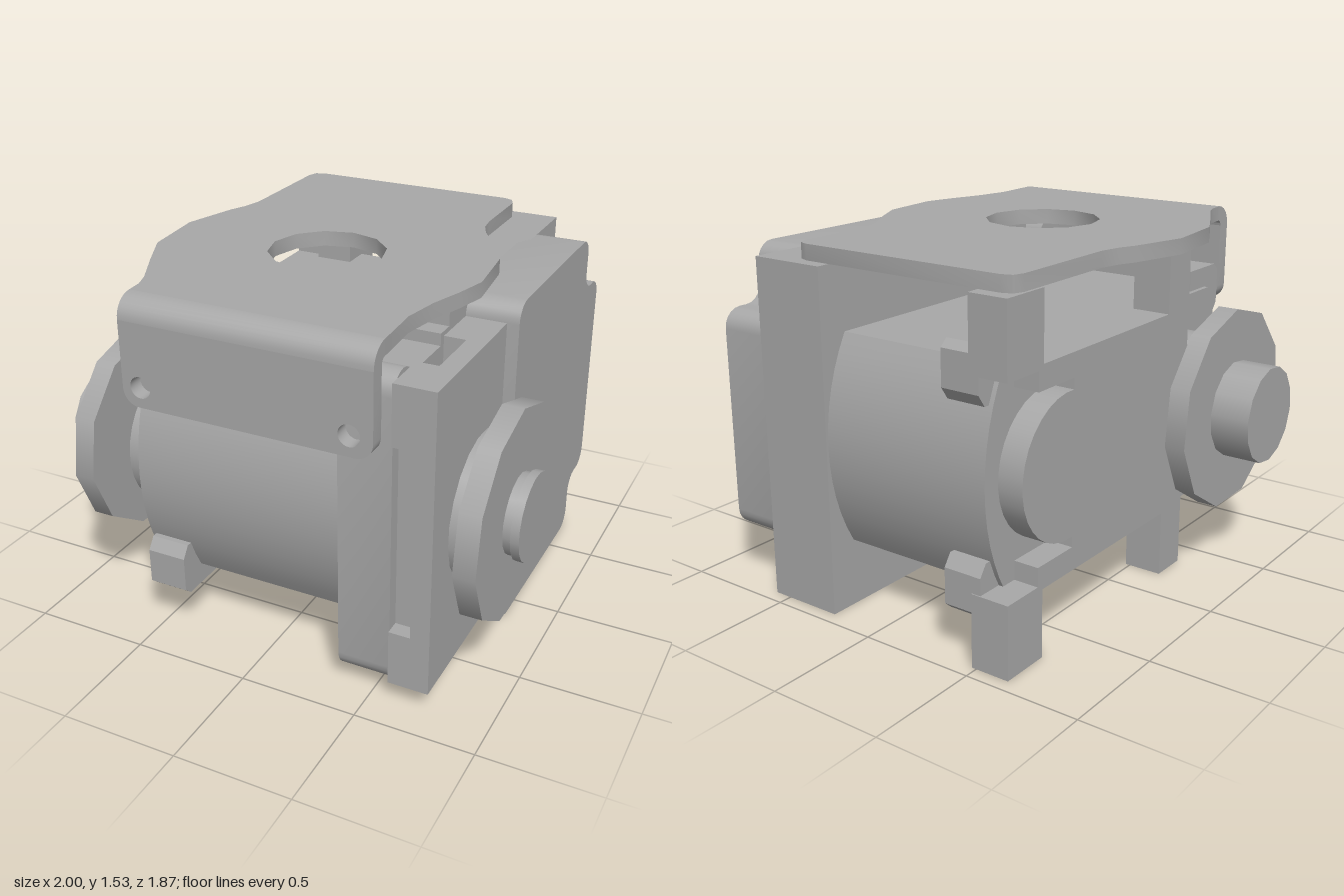
import * as THREE from 'three';
import { toCreasedNormals } from 'three/addons/utils/BufferGeometryUtils.js';

const AXLE_Y = 0.735, AXLE_Z = 0.46;

export function createModel() {
  const model = new THREE.Group();
  model.name = 'bracketedGearMotor';
  const metal = new THREE.MeshStandardMaterial({ color: 0xa8a8a8 });
  metal.name = 'plainGrey';

  const add = (name, geometry) => {
    const mesh = new THREE.Mesh(geometry, metal);
    mesh.name = name;
    model.add(mesh);
    return mesh;
  };
  const box = (name, x0, x1, y0, y1, z0, z1) => {
    const g = new THREE.BoxGeometry(x1 - x0, y1 - y0, z1 - z0);
    g.translate((x0 + x1) / 2, (y0 + y1) / 2, (z0 + z1) / 2);
    return add(name, g);
  };
  const arc = (cx, cy, r, from, to, n) => Array.from({ length: n + 1 }, (_, i) => {
    const a = THREE.MathUtils.degToRad(from + (to - from) * i / n);
    return [cx + r * Math.cos(a), cy + r * Math.sin(a)];
  });
  const toVectors = pts => pts.map(([a, b]) => new THREE.Vector2(a, b));
  const extrude = (pts, depth, holes = []) => {
    const shape = new THREE.Shape(toVectors(pts));
    holes.forEach(h => shape.holes.push(new THREE.Path(toVectors(h))));
    return new THREE.ExtrudeGeometry(shape, { depth, bevelEnabled: false });
  };
  // Profile in (z, y), swept from x0 to x1
  const sweepX = (name, pts, x0, x1) => {
    const g = extrude(pts.map(([z, y]) => [-z, y]), x1 - x0);
    g.rotateY(Math.PI / 2).translate(x0, 0, 0);
    return add(name, toCreasedNormals(g, 0.6));
  };
  const disc = (name, r, x0, x1, sides, z = AXLE_Z) => {
    const g = new THREE.CylinderGeometry(r, r, x1 - x0, sides);
    g.rotateY(THREE.MathUtils.degToRad(7)).rotateZ(-Math.PI / 2);
    g.translate((x0 + x1) / 2, AXLE_Y, z);
    return add(name, g);
  };

  // Motor body with bulging front and back
  sweepX('motorBody', [
    ...arc(-0.04, AXLE_Y, 0.89, -30, 30, 12),
    ...arc(-0.04, AXLE_Y, 0.89, 150, 210, 12)], -0.54, 0.4);

  // Left side plate with two round bosses
  box('leftPlate', -0.65, -0.54, 0.29, 1.18, -0.52, 0.35);
  for (const y of [0.29, 1.08]) box('leftPlateEdge', -0.65, -0.54, y, y + 0.1, -0.75, -0.52);
  for (const z of [AXLE_Z, -0.55]) disc('leftPlateBoss', 0.3, -0.65, -0.54, 32, z);

  // Mounting feet and mirrored upper posts
  for (const [y0, y1] of [[0, 0.31], [1.16, 1.46]]) {
    box('leftFrontPost', -0.65, -0.48, y0, y1, 0.18, 0.35);
    box('leftRearPost', -0.65, -0.48, y0, y1, -0.94, -0.72);
    box('rightFrontPost', 0.2, 0.4, y0, y1, 0.18, 0.35);
  }

  // Chamfered clamps gripping the motor's front and back edges
  for (const top of [false, true]) for (const back of [false, true]) {
    const pts = [[0.6, 0.2], [0.82, 0.2], [0.855, 0.23], [0.855, 0.38], [0.82, 0.43], [0.6, 0.43]]
      .map(([z, y]) => [back ? -0.08 - z : z, top ? 2 * AXLE_Y - y : y]);
    sweepX('edgeClamp', pts, -0.52, -0.35);
  }

  // Gearbox wall and rounded cover with notched rear corners
  box('gearboxWall', 0.24, 0.58, 0, 1.46, -0.94, 0.35);
  const lowerNotch = [
    ...arc(-0.65, 0.08, 0.08, 270, 180, 5), [-0.73, 0.16],
    ...arc(-0.81, 0.17, 0.08, 0, 90, 5),
    ...arc(-0.85, 0.33, 0.08, 270, 180, 5)];
  const upperNotch = lowerNotch.map(([z, y]) => [z, 1.46 - y]).reverse();
  sweepX('gearboxCover', [
    ...lowerNotch, ...upperNotch,
    ...arc(0.1, 1.38, 0.08, 90, 0, 5), ...arc(0.1, 0.08, 0.08, 0, -90, 5)], 0.54, 0.8);

  // Front gear carrier, hollow around a vertical slot
  box('carrierCore', 0.36, 0.58, 0.12, 1.35, 0.3, 0.77);
  box('carrierStep', 0.36, 0.58, 0.07, 1.4, 0.3, 0.43);
  sweepX('carrierNose', [
    ...arc(0.77, 1.315, 0.085, 0, 180, 10), ...arc(0.77, 0.155, 0.085, 180, 360, 10)], 0.36, 0.58);
  box('carrierPlate', 0.67, 0.75, 0.09, 1.38, 0.18, 0.865);
  box('carrierRear', 0.58, 0.67, 0.09, 1.38, 0.18, 0.4);
  box('carrierLowerBar', 0.58, 0.67, 0.09, 0.33, 0.66, 0.865);
  box('carrierUpperBar', 0.58, 0.67, 1.13, 1.38, 0.66, 0.865);
  box('carrierSlotFloor', 0.58, 0.67, 0.33, 1.13, 0.66, 0.8);

  // Left output wheel
  disc('leftShaft', 0.13, -0.71, -0.65, 20);
  disc('leftCollar', 0.16, -0.745, -0.7, 20);
  disc('leftWheel', 0.44, -0.83, -0.74, 11);
  disc('leftHub', 0.21, -1, -0.83, 14);

  // Right output wheel
  disc('rightShaft', 0.2, 0.75, 0.78, 20);
  disc('rightCollar', 0.305, 0.77, 0.845, 20);
  disc('rightWheel', 0.44, 0.84, 0.93, 11);
  disc('rightHub', 0.165, 0.93, 0.97, 20);
  disc('rightHubCap', 0.18, 0.965, 1, 20);

  // Top bracket: contoured plate with a round hole, outline in (x, -z)
  const outline = [
    [-0.52, 0.84], [0.54, 0.84], [0.53, 0.62], [0.56, 0.46], [0.605, 0.32], [0.64, 0.18],
    [0.61, -0.1], [0.53, -0.25], [0.44, -0.39], [0.41, -0.46], [0.4, -0.54],
    [0.4, -0.84], [0.38, -0.885], [0.34, -0.9], [-0.59, -0.9], [-0.635, -0.885], [-0.65, -0.84],
    [-0.65, -0.35], [-0.67, -0.26], [-0.7, -0.19], [-0.765, 0.05], [-0.735, 0.34],
    [-0.64, 0.53], [-0.55, 0.7], [-0.525, 0.77]].map(([x, z]) => [x, -z]);
  const plate = extrude(outline, 0.065, [arc(-0.06, -0.11, 0.245, 0, 330, 11)]);
  plate.rotateX(-Math.PI / 2).translate(0, 1.465, 0);
  add('bracketTop', toCreasedNormals(plate, 0.6));

  // Bracket bend and drilled front flange
  sweepX('bracketBend', [
    ...arc(0.84, 1.44, 0.09, 0, 90, 8), ...arc(0.84, 1.44, 0.025, 90, 0, 8)], -0.52, 0.54);
  const flange = extrude([
    [-0.52, 1.44], ...arc(-0.45, 1.16, 0.07, 180, 270, 6),
    ...arc(0.47, 1.16, 0.07, 270, 360, 6), [0.54, 1.44]], 0.065,
  [-0.44, 0.445].map(x => arc(x, 1.175, 0.045, 0, 345, 23)));
  flange.translate(0, 0, 0.865);
  add('bracketFlange', toCreasedNormals(flange, 0.6));

  return model;
}
